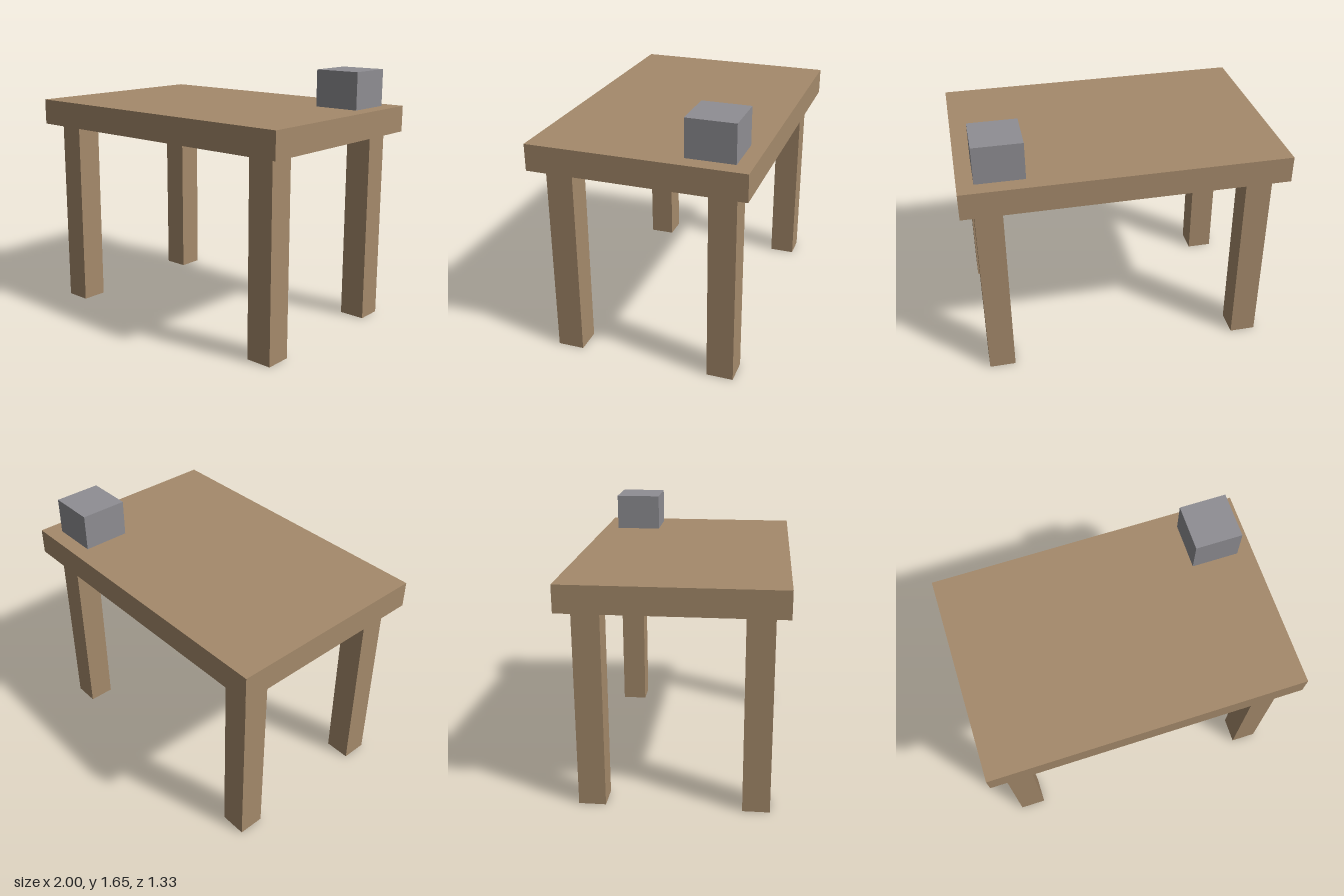
import * as THREE from 'three';

export function createModel() {
  const model = new THREE.Group();
  model.name = 'table';
  const wood = new THREE.MeshStandardMaterial({ color: 0xa58a6b });
  const grey = new THREE.MeshStandardMaterial({ color: 0x8f8e93 });

  // Box given by its size, standing on height y
  function addBox(name, material, [w, h, d], x, y, z) {
    const mesh = new THREE.Mesh(new THREE.BoxGeometry(w, h, d), material);
    mesh.name = name;
    mesh.position.set(x, y + h / 2, z);
    model.add(mesh);
  }

  const legHeight = 1.244, topThickness = 0.167;

  // Four square legs, set in from the corners
  for (const [side, sx] of [['Left', 1], ['Right', -1]]) {
    for (const [end, sz] of [['front', 1], ['back', -1]]) {
      addBox(`${end}${side}Leg`, wood, [0.167, legHeight, 0.167], sx * 0.833, 0, sz * 0.5);
    }
  }

  // Thick table top
  addBox('tableTop', wood, [2, topThickness, 1.333], 0, legHeight, 0);

  // Block resting near the back left corner
  addBox('block', grey, [0.3, 0.236, 0.3], 0.75, legHeight + topThickness, -0.42);

  return model;
}
